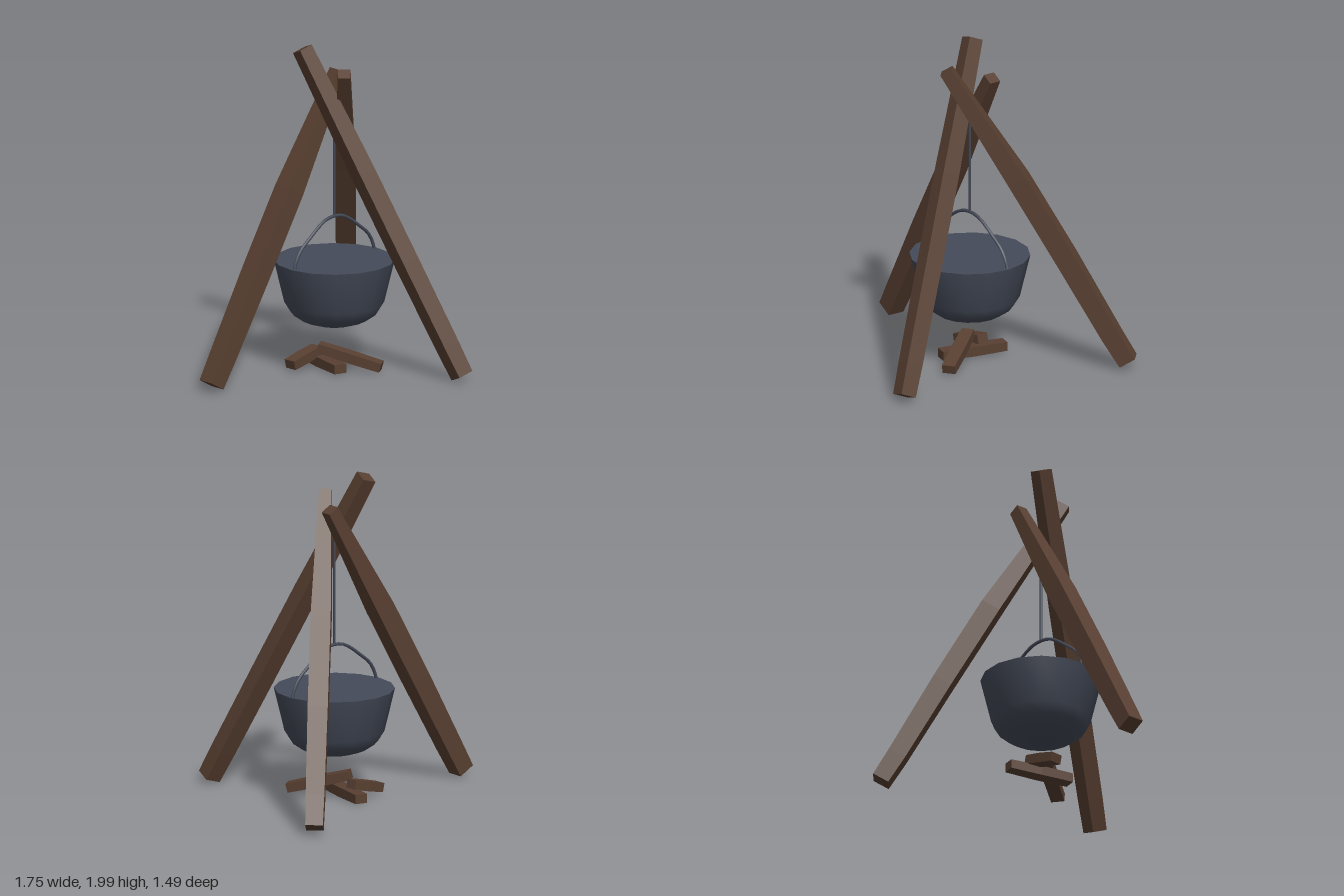
import * as THREE from 'three';
import { toCreasedNormals } from 'three/addons/utils/BufferGeometryUtils.js';

const V = (x, y, z) => new THREE.Vector3(x, y, z);
const wood = new THREE.MeshStandardMaterial({ color: 0x583f31, flatShading: true });
const iron = new THREE.MeshStandardMaterial({ color: 0x444a58 });

// Square timber from foot to head; sections are [t, width, depth, bow] along its length
function beam(name, foot, head, sections, hint) {
  const up = head.clone().sub(foot).normalize();
  const side = hint ? hint.clone().addScaledVector(up, -hint.dot(up)) : up.clone().cross(V(0, 1, 0));
  side.normalize();
  const out = side.clone().cross(up);
  const n = sections.length - 1;
  const geo = new THREE.BoxGeometry(1, 1, 1, 1, n, 1);
  const pos = geo.attributes.position;
  for (let i = 0; i < pos.count; i++) {
    const [t, w, d, bow] = sections[Math.round((pos.getY(i) + 0.5) * n)];
    const p = foot.clone().lerp(head, t)
      .addScaledVector(side, pos.getX(i) * w)
      .addScaledVector(out, pos.getZ(i) * d + bow);
    pos.setXYZ(i, p.x, p.y, p.z);
  }
  geo.computeVertexNormals();
  const mesh = new THREE.Mesh(geo, wood);
  mesh.name = name;
  return mesh;
}

// Leg outline: slim head, thick middle, slightly narrowed foot
const legSections = (head, mid, foot, bow) => [
  [0, foot, foot, 0], [0.09, foot * 1.06, foot * 1.06, 0],
  [0.35, mid, mid, bow * 0.7], [0.62, mid, mid, bow], [1, head, head, 0],
];

function createModel() {
  const group = new THREE.Group();

  // Tripod
  group.add(
    beam('frontLeg', V(0.36, 0.04, 0.695), V(-0.07, 1.965, -0.205),
      legSections(0.09, 0.11, 0.1, 0), V(1, 0, 0.28)),
    beam('leftLeg', V(0.8, 0.055, -0.675), V(0.007, 1.845, 0.065),
      legSections(0.075, 0.12, 0.105, 0.022)),
    beam('rightLeg', V(-0.83, 0.045, -0.222), V(0.175, 1.795, -0.148),
      legSections(0.073, 0.125, 0.108, 0.005)),
  );

  // Firewood
  const logSections = [[0, 0.08, 0.055, 0], [0.5, 0.085, 0.06, 0], [1, 0.075, 0.055, 0]];
  const logs = new THREE.Group();
  logs.name = 'firewood';
  logs.add(
    beam('frontLog', V(0.185, 0.036, 0.2), V(-0.015, 0.137, -0.125), logSections),
    beam('backLog', V(-0.185, 0.047, -0.195), V(0.04, 0.1, -0.19), logSections),
    beam('flatLog', V(-0.035, 0.041, 0.075), V(0.085, 0.041, -0.325), logSections),
  );
  group.add(logs);

  // Cauldron with a flat closed top
  const cauldron = new THREE.Group();
  cauldron.name = 'cauldron';
  cauldron.position.set(0.063, 0, -0.07);
  const profile = [[0, 0.28], [0.12, 0.28], [0.195, 0.305], [0.26, 0.35], [0.297, 0.41], [0.36, 0.672], [0, 0.672]]
    .map(([r, y]) => new THREE.Vector2(r, y));
  const pot = new THREE.Mesh(toCreasedNormals(new THREE.LatheGeometry(profile, 16), 0.75), iron);
  pot.name = 'pot';

  // Bail handle, bent from straight pieces
  const half = [[0.345, 0.66], [0.325, 0.72], [0.285, 0.78], [0.215, 0.835], [0.14, 0.89], [0.075, 0.925]];
  const bend = [...half.map(([x, y]) => V(-x, y, 0)), V(0, 0.937, 0),
    ...half.map(([x, y]) => V(x, y, 0)).reverse()];
  const path = new THREE.CatmullRomCurve3(bend);
  const handle = new THREE.Mesh(new THREE.TubeGeometry(path, 24, 0.01, 6), iron);
  handle.name = 'handle';

  // Hanging rod up to the crossing of the legs
  const rod = new THREE.Mesh(new THREE.CylinderGeometry(0.008, 0.008, 0.67, 6), iron);
  rod.name = 'hangingRod';
  rod.position.y = 1.27;
  cauldron.add(pot, handle, rod);
  group.add(cauldron);
  return group;
}

export { createModel };
